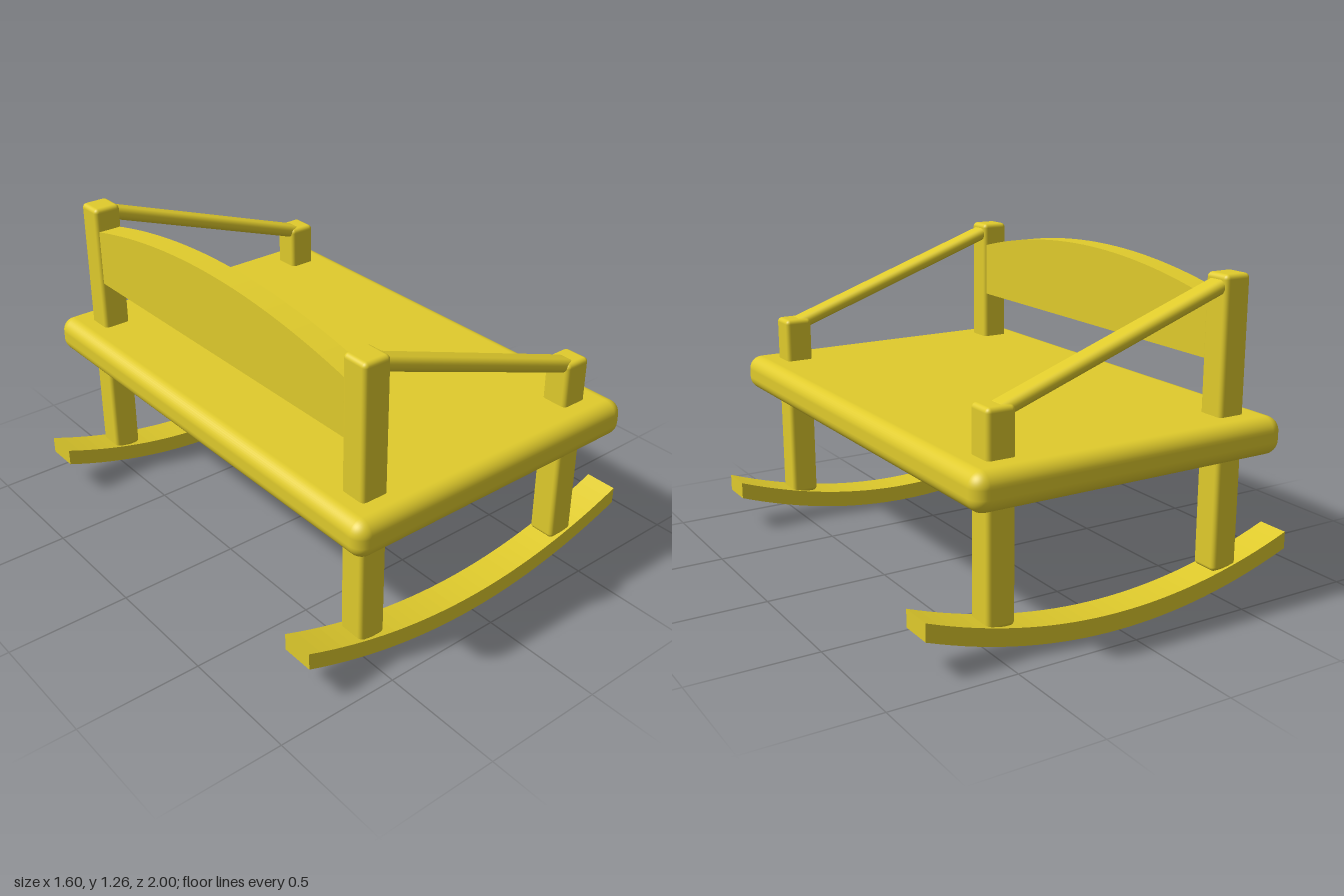
import * as THREE from 'three';
import { RoundedBoxGeometry } from 'three/addons/geometries/RoundedBoxGeometry.js';

const material = new THREE.MeshStandardMaterial({ color: 0xe0cb2c });

function add(parent, name, geometry, x = 0, y = 0, z = 0) {
  const mesh = new THREE.Mesh(geometry, material);
  mesh.name = name;
  mesh.position.set(x, y, z);
  parent.add(mesh);
  return mesh;
}

// Solid of the given depth, centred on z = 0, between two height curves
function curvedSlab(halfLength, depth, bottom, top, steps = 32) {
  const at = (i) => -halfLength + (2 * halfLength * i) / steps;
  const points = [];
  for (let i = 0; i <= steps; i++) points.push(new THREE.Vector2(at(i), bottom(at(i))));
  for (let i = steps; i >= 0; i--) points.push(new THREE.Vector2(at(i), top(at(i))));
  const geometry = new THREE.ExtrudeGeometry(new THREE.Shape(points), { depth, bevelEnabled: false });
  return geometry.translate(0, 0, -depth / 2);
}

function addPost(parent, name, x, topY) {
  const bottomY = 0.12;
  const geometry = new RoundedBoxGeometry(0.115, topY - bottomY, 0.115, 3, 0.018);
  add(parent, name, geometry, x, (topY + bottomY) / 2, 0);
}

export function createModel() {
  const chair = new THREE.Group();
  chair.name = 'rockingBench';

  // Thick seat with rounded edges
  add(chair, 'seat', new RoundedBoxGeometry(1.33, 0.147, 2, 5, 0.056), 0, 0.657, 0);

  // Arched backrest between the rear posts
  const backrest = curvedSlab(0.79, 0.095, () => 0.935, (u) => 1.26 - 0.158 * u * u);
  add(chair, 'backrest', backrest, -0.502).rotation.y = Math.PI / 2;

  // Each side: rear and front posts, sloping armrest and curved runner
  for (const side of [1, -1]) {
    const frame = new THREE.Group();
    frame.name = side > 0 ? 'frontSideFrame' : 'backSideFrame';
    frame.position.z = side * 0.833;
    chair.add(frame);

    addPost(frame, 'tallPost', -0.502, 1.26);
    addPost(frame, 'shortPost', 0.498, 0.91);

    const rail = new RoundedBoxGeometry(1.06, 0.052, 0.095, 4, 0.0255);
    add(frame, 'armrest', rail, 0, 1.055, 0).rotation.z = -Math.atan(0.353);

    const arc = (x) => 0.235 * x * x;
    add(frame, 'rocker', curvedSlab(0.8, 0.135, arc, (x) => arc(x) + 0.069));
  }
  return chair;
}
